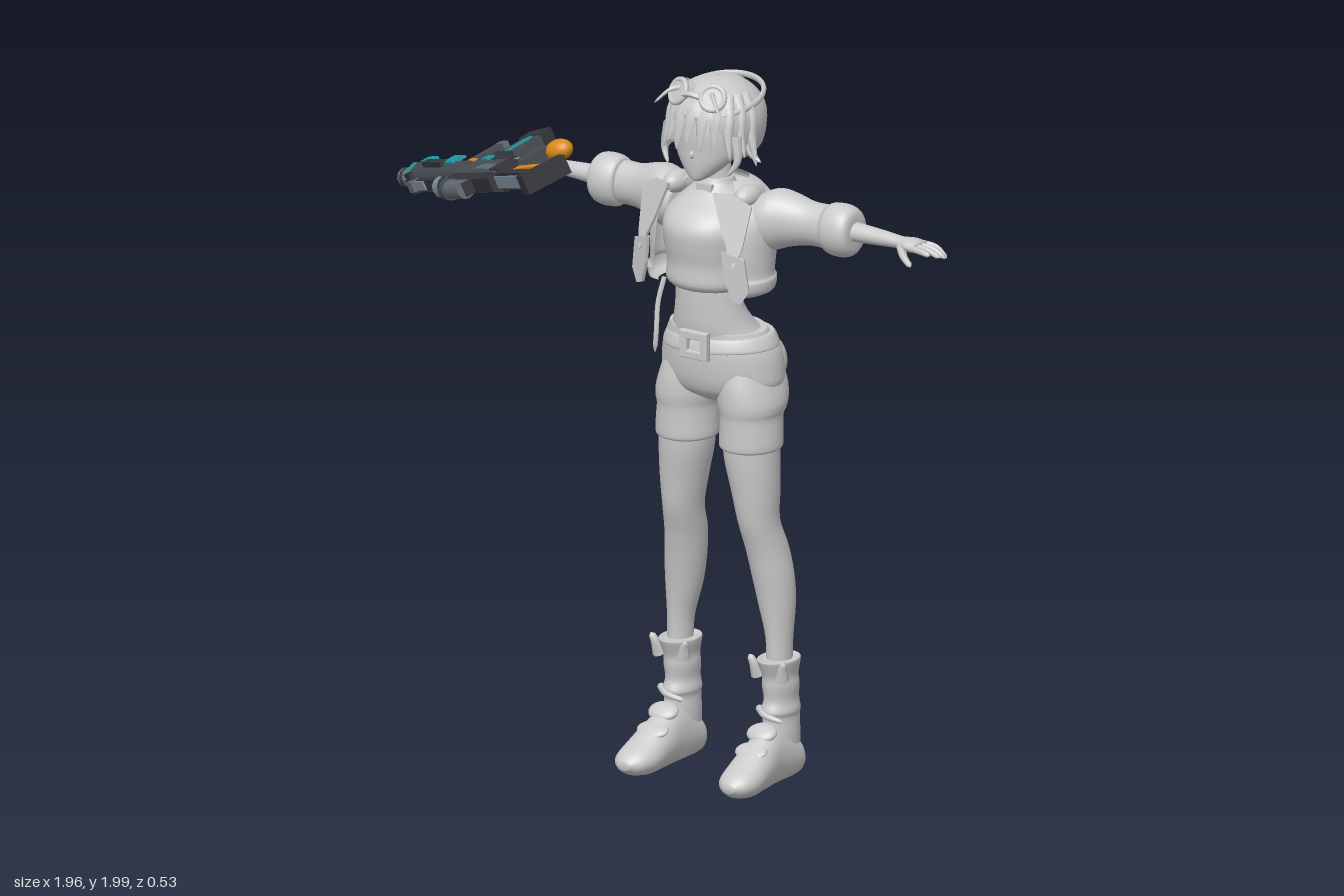
import * as THREE from 'three';

const mat = (name, color, side = THREE.FrontSide) =>
  Object.assign(new THREE.MeshStandardMaterial({ color, side }), { name });
const CX = 0.248; // figure's centre line
const V = (x, y, z) => new THREE.Vector3(x, y, z);

export function createModel() {
  const clay = mat('clay grey', 0xcacaca, THREE.DoubleSide);
  const dark = mat('gunmetal', 0x484c52);
  const black = mat('dark polymer', 0x34363b);
  const teal = mat('teal', 0x1f98a2);
  const orange = mat('orange', 0xd98a1c);
  const steel = mat('blue steel', 0x7d8e9d);
  const iron = mat('grey steel', 0x626a72);
  const tan = mat('tan', 0xb09c8a);

  const model = new THREE.Group();
  const body = new THREE.Group();
  body.name = 'figure';
  body.position.x = CX;
  model.add(body);

  const add = (name, geo, m = clay, parent = body) => {
    const mesh = new THREE.Mesh(geo, m);
    mesh.name = name;
    parent.add(mesh);
    return mesh;
  };

  // Smooth skin over elliptical rings: [along, c1, c2, r1, r2, front gap]
  function loft(name, rows, axis = 'y', floor = -9) {
    const N = 32, SUB = 4, pos = [], idx = [];
    const open = rows.some(r => r[5]);
    const cols = open ? N + 1 : N, rings = (rows.length - 1) * SUB + 1;
    const row = i => rows[Math.max(0, Math.min(rows.length - 1, i))];
    const put = (p, a, b) => {
      const q = axis === 'y' ? [a, p, b] : axis === 'x' ? [p, a, b] : [a, b, p];
      q[1] = Math.max(floor, q[1]);
      pos.push(...q);
    };
    for (let j = 0; j < rings; j++) {
      const k = Math.min(Math.floor(j / SUB), rows.length - 2), t = j / SUB - k;
      const [p, c1, c2, r1, r2, gap = 0] = row(k).map((b, i) => {
        const a = row(k - 1)[i], c = row(k + 1)[i], d = row(k + 2)[i];
        return b + 0.5 * t * (c - a + t * (2 * a - 5 * b + 4 * c - d + t * (3 * (b - c) + d - a)));
      });
      const g = Math.max(0, gap);
      for (let i = 0; i < cols; i++) {
        const th = Math.PI / 2 + g + (i / N) * (2 * Math.PI - 2 * g);
        put(p, c1 + r1 * Math.cos(th), c2 + r2 * Math.sin(th));
      }
    }
    const flip = (axis !== 'y') !== (rows[rows.length - 1][0] < rows[0][0]);
    const tri = (a, b, c) => (flip ? idx.push(a, c, b) : idx.push(a, b, c));
    for (let j = 0; j < rings - 1; j++)
      for (let i = 0; i < N; i++) {
        const n = (i + 1) % cols, a = j * cols;
        tri(a + i, a + cols + i, a + cols + n);
        tri(a + i, a + cols + n, a + n);
      }
    if (!open) {
      const end = rows[rows.length - 1], base = rings * cols, top = (rings - 1) * cols;
      put(...rows[0]);
      put(...end);
      for (let i = 0; i < N; i++) {
        tri(base, i, (i + 1) % cols);
        tri(base + 1, top + (i + 1) % cols, top + i);
      }
    }
    const geo = new THREE.BufferGeometry();
    geo.setAttribute('position', new THREE.Float32BufferAttribute(pos, 3));
    geo.setIndex(idx);
    geo.computeVertexNormals();
    return add(name, geo);
  }

  // Tapered tube through points
  function strand(name, pts, r0, r1, flat = 1) {
    const S = 10, R = 8, curve = new THREE.CatmullRomCurve3(pts.map(p => V(...p)));
    const geo = new THREE.TubeGeometry(curve, S, 1, R), P = geo.attributes.position, v = V(0, 0, 0);
    for (let i = 0; i <= S; i++) {
      const c = curve.getPointAt(i / S);
      const r = i === S ? 0.001 : r0 + (r1 - r0) * i / S;
      for (let j = 0; j <= R; j++) {
        const k = i * (R + 1) + j;
        v.fromBufferAttribute(P, k).sub(c).multiplyScalar(r);
        P.setXYZ(k, c.x + v.x, c.y + v.y, c.z + v.z * flat);
      }
    }
    geo.computeVertexNormals();
    return add(name, geo);
  }
  const ball = (name, x, y, z, rx, ry, rz, m = clay, parent = body) => {
    const b = add(name, new THREE.SphereGeometry(1, 24, 16).scale(rx, ry, rz), m, parent);
    b.position.set(x, y, z);
    return b;
  };

  // Head, face and hair
  const HX = -0.01;
  loft('neck', [[1.64, 0, -0.01, 0.055, 0.05], [1.7, 0, -0.005, 0.041, 0.042], [1.8, HX, 0, 0.04, 0.042]]);
  loft('face', [[1.712, HX, 0.078, 0.012, 0.012], [1.725, HX, 0.062, 0.035, 0.035], [1.76, HX, 0.04, 0.073, 0.062],
    [1.8, HX, 0.015, 0.1, 0.088], [1.86, HX, 0, 0.11, 0.104], [1.93, HX, 0, 0.09, 0.085]]);
  ball('nose', HX, 1.79, 0.1, 0.007, 0.012, 0.011);
  loft('hairCap', [[1.765, HX, -0.035, 0.085, 0.085, 1.35], [1.8, HX, -0.025, 0.118, 0.12, 1.15], [1.86, HX, -0.02, 0.132, 0.137, 0.7],
    [1.91, HX, -0.02, 0.125, 0.133, 0.15], [1.95, HX, -0.02, 0.098, 0.103, 0], [1.98, HX, -0.02, 0.052, 0.057, 0], [1.988, HX, -0.02, 0.002, 0.002, 0]]);
  for (let i = -5; i <= 5; i++) {
    const a = i * 0.3, s = Math.sin(a), c = Math.cos(a), low = 1.775 + 0.05 * c - (i % 2 ? 0.018 : 0);
    strand('fringeLock', [[HX + 0.08 * s, 1.945, -0.02 + 0.085 * c], [HX + 0.115 * s, 1.9, -0.015 + 0.118 * c],
      [HX + 0.125 * s, 1.85, -0.008 + 0.128 * c], [HX + (0.12 + 0.03 * Math.abs(s)) * s, low, 0.128 * c]], 0.03, 0.006, 0.6);
  }
  for (const s of [-1, 1]) {
    strand('sideLock', [[HX + s * 0.11, 1.85, 0.05], [HX + s * 0.122, 1.78, 0.06], [HX + s * 0.1, 1.74, 0.075]], 0.02, 0.004);
    strand('sideFlick', [[HX + s * 0.11, 1.83, -0.01], [HX + s * 0.13, 1.79, 0], [HX + s * 0.165, 1.775, 0.01]], 0.024, 0.003);
    strand('topFlick', [[HX + s * 0.03, 1.965, 0.05], [HX + s * 0.07, 1.965, 0.1], [HX + s * 0.11, 1.925, 0.125]], 0.01, 0.003);
    // Goggles
    const lens = new THREE.Group();
    lens.name = 'goggleLens';
    lens.position.set(HX + s * 0.058, 1.958, 0.085);
    lens.rotation.set(-0.45, s * 0.35, 0);
    body.add(lens);
    add('goggleRim', new THREE.TorusGeometry(0.033, 0.008, 10, 24), clay, lens);
    add('goggleCup', new THREE.CylinderGeometry(0.032, 0.036, 0.05, 24).rotateX(Math.PI / 2), clay, lens).position.z = -0.02;
  }
  strand('goggleBridge', [[HX - 0.03, 1.957, 0.098], [HX, 1.963, 0.104], [HX + 0.03, 1.957, 0.098]], 0.009, 0.009);
  const strap = add('goggleStrap', new THREE.TorusGeometry(0.124, 0.007, 8, 48).scale(0.98, 1.05, 1.4));
  strap.position.set(HX, 1.928, -0.022);
  strap.rotation.x = Math.PI / 2 - 0.0 + 0.22;

  // Torso, top and shorts
  loft('waist', [[1.18, 0, -0.03, 0.165, 0.115], [1.25, 0, -0.02, 0.152, 0.112], [1.3, 0, 0.01, 0.122, 0.092],
    [1.37, 0, 0.035, 0.102, 0.07], [1.45, 0, 0.03, 0.105, 0.075]]);
  loft('croppedTop', [[1.41, 0, 0.045, 0.105, 0.085], [1.43, 0, 0.05, 0.116, 0.095], [1.48, 0, 0.048, 0.115, 0.096],
    [1.53, 0, 0.048, 0.122, 0.105], [1.58, 0, 0.045, 0.127, 0.111], [1.62, 0, 0.03, 0.122, 0.102],
    [1.66, 0, 0.008, 0.09, 0.076], [1.69, 0, 0, 0.055, 0.054], [1.71, 0, -0.003, 0.046, 0.046]]);
  add('collarTab', new THREE.BoxGeometry(0.05, 0.025, 0.015)).position.set(0, 1.685, 0.055);
  loft('shorts', [[1.075, 0, -0.035, 0.05, 0.07], [1.1, 0, -0.032, 0.15, 0.105], [1.13, 0, -0.031, 0.184, 0.12], [1.17, 0, -0.03, 0.186, 0.127],
    [1.22, 0, -0.027, 0.178, 0.127], [1.26, 0, -0.015, 0.158, 0.112], [1.285, 0, -0.008, 0.145, 0.104]]);
  const belt = loft('belt', [[-0.02, 0, 0, 0.165, 0.118], [-0.016, 0, 0, 0.175, 0.128], [0.016, 0, 0, 0.162, 0.12], [0.02, 0, 0, 0.152, 0.112]]);
  belt.position.set(0, 1.245, -0.02);
  belt.rotation.z = 0.06;
  const frame = new THREE.Shape([[-0.042, -0.036], [0.042, -0.036], [0.042, 0.036], [-0.042, 0.036]].map(p => new THREE.Vector2(...p)));
  frame.holes.push(new THREE.Path([[-0.026, -0.02], [-0.026, 0.02], [0.026, 0.02], [0.026, -0.02]].map(p => new THREE.Vector2(...p))));
  add('buckle', new THREE.ExtrudeGeometry(frame, { depth: 0.012, bevelSize: 0.004, bevelThickness: 0.004, bevelSegments: 2 })).position.set(0.005, 1.25, 0.103);
  strand('cord', [[-0.09, 1.43, 0.12], [-0.1, 1.36, 0.135], [-0.095, 1.28, 0.15], [-0.1, 1.22, 0.15]], 0.007, 0.007);

  // Open jacket with folded hood
  loft('jacket', [[1.4, 0, 0.02, 0.165, 0.11, 1.05], [1.415, 0, 0.022, 0.19, 0.132, 0.95], [1.445, 0, 0.022, 0.195, 0.138, 0.8],
    [1.46, 0, 0.02, 0.188, 0.132, 0.75], [1.53, 0, 0.015, 0.19, 0.138, 0.68], [1.6, 0, 0.005, 0.192, 0.13, 0.68],
    [1.65, 0, -0.01, 0.175, 0.112, 0.7], [1.685, 0, -0.025, 0.125, 0.09, 0.8], [1.705, 0, -0.025, 0.08, 0.065, 0.9]]);
  const hood = [];
  for (let i = 0; i <= 8; i++) {
    const a = Math.PI * (i / 8), b = Math.sin(a);
    hood.push(V(0.12 * Math.cos(a), 1.675 - 0.025 * b, 0.02 - 0.115 * b));
  }
  add('hood', new THREE.TubeGeometry(new THREE.CatmullRomCurve3(hood), 32, 0.032, 12));
  for (const s of [-1, 1]) {
    ball('hoodEnd', s * 0.12, 1.675, 0.02, 0.032, 0.032, 0.05);
    ball('seat', s * 0.078, 1.175, -0.075, 0.088, 0.085, 0.082);
    // Lapels and hanging front flaps
    const lapel = new THREE.Shape([[0.07, 1.7], [0.13, 1.705], [0.185, 1.68], [0.175, 1.56], [0.16, 1.5], [0.11, 1.6]].map(p => new THREE.Vector2(s * p[0], p[1])));
    const wing = add('lapel', new THREE.ExtrudeGeometry(lapel, { depth: 0.008, bevelEnabled: false }).translate(-s * 0.11, -1.6, 0));
    wing.position.set(s * 0.11, 1.6, 0.128);
    wing.rotation.set(-0.25, s * 0.35, 0);
    const flap = new THREE.Shape([[0.12, 1.55], [0.185, 1.53], [0.198, 1.44], [0.175, 1.402], [0.15, 1.41], [0.13, 1.47]].map(p => new THREE.Vector2(s * p[0], p[1])));
    const panel = add('frontFlap', new THREE.ExtrudeGeometry(flap, { depth: 0.01, bevelEnabled: false }).translate(-s * 0.13, 0, 0));
    panel.position.set(s * 0.13, 0, 0.14);
    panel.rotation.y = s * 0.4;

    // Sleeve, rolled cuff and forearm
    const arm = rows => rows.map(r => [s * r[0], ...r.slice(1)]);
    loft('sleeve', arm([[0.12, 1.605, -0.015, 0.06, 0.07], [0.18, 1.61, -0.025, 0.086, 0.078], [0.23, 1.615, -0.035, 0.076, 0.066],
      [0.29, 1.613, -0.042, 0.062, 0.053], [0.35, 1.613, -0.045, 0.062, 0.052]]), 'x');
    loft('cuff', arm([[0.345, 1.612, -0.045, 0.052, 0.046], [0.355, 1.612, -0.045, 0.07, 0.06], [0.39, 1.612, -0.045, 0.075, 0.066],
      [0.42, 1.612, -0.045, 0.07, 0.062], [0.435, 1.612, -0.045, 0.055, 0.05], [0.438, 1.612, -0.045, 0.028, 0.028]]), 'x');
    loft('forearm', arm([[0.38, 1.615, -0.045, 0.03, 0.032], [0.46, 1.615, -0.045, 0.026, 0.028], [0.54, 1.615, -0.045, 0.021, 0.023],
      [0.59, 1.614, -0.045, 0.017, 0.023], [0.625, 1.614, -0.045, 0.019, 0.036], [0.655, 1.612, -0.047, 0.014, 0.036]]), 'x');
    // Spread fingers and thumb
    for (let f = 0; f < 4; f++) {
      const z = -0.018 - f * 0.019, len = [0.062, 0.073, 0.068, 0.052][f], fan = (1.4 - f) * 0.012;
      strand('finger', [[s * 0.64, 1.613, z], [s * (0.65 + len / 2), 1.614 - f * 0.003, z + fan * 0.7], [s * (0.655 + len), 1.61 - f * 0.011, z + fan]], 0.0105, 0.007);
    }
    strand('thumb', [[s * 0.6, 1.607, -0.03], [s * 0.63, 1.592, 0], [s * 0.665, 1.573, 0.015]], 0.014, 0.008);

    // Shorts leg with two soft folds
    const side = rows => rows.map(r => [r[0], s * r[1], ...r.slice(2)]);
    loft('shortsLeg', side([[1.19, 0.088, -0.03, 0.075, 0.1], [1.13, 0.098, -0.03, 0.086, 0.112], [1.085, 0.104, -0.025, 0.091, 0.11],
      [1.06, 0.106, -0.02, 0.088, 0.103], [1.04, 0.106, -0.016, 0.083, 0.096], [1.0, 0.107, -0.013, 0.085, 0.092],
      [0.965, 0.107, -0.012, 0.087, 0.091], [0.95, 0.107, -0.012, 0.084, 0.088], [0.945, 0.107, -0.012, 0.07, 0.075]]));
    loft('leg', side([[1.0, 0.107, -0.012, 0.078, 0.082], [0.92, 0.11, -0.012, 0.076, 0.08], [0.83, 0.12, -0.015, 0.066, 0.072],
      [0.74, 0.127, -0.02, 0.055, 0.064], [0.66, 0.136, -0.045, 0.056, 0.066], [0.58, 0.147, -0.058, 0.057, 0.062],
      [0.5, 0.156, -0.064, 0.051, 0.055], [0.4, 0.166, -0.062, 0.036, 0.042], [0.3, 0.167, -0.06, 0.034, 0.04]]));
    // Boot
    const bx = s * 0.166 + 0.008;
    loft('bootShaft', [[0.05, bx, -0.062, 0.044, 0.06], [0.13, bx, -0.058, 0.046, 0.064], [0.18, bx, -0.06, 0.043, 0.063],
      [0.2, bx, -0.057, 0.047, 0.067], [0.23, bx, -0.06, 0.042, 0.059], [0.27, bx, -0.057, 0.046, 0.06],
      [0.3, bx, -0.055, 0.044, 0.06], [0.335, bx, -0.05, 0.052, 0.069], [0.348, bx, -0.048, 0.052, 0.07], [0.343, bx, -0.05, 0.042, 0.052]]);
    loft('foot', [[-0.125, 0.05, 0.02, 0.03], [-0.105, 0.056, 0.042, 0.052], [-0.05, 0.07, 0.048, 0.072], [0.01, 0.08, 0.05, 0.085],
      [0.08, 0.064, 0.058, 0.068], [0.14, 0.046, 0.06, 0.05], [0.185, 0.04, 0.048, 0.033], [0.212, 0.038, 0.018, 0.012]].map(
      ([z, y, rx, ry]) => [z, bx + 0.006 + s * Math.max(0, z) * 0.05, y, rx, ry]), 'z', 0.005);
    ball('bootFold', bx, 0.15, 0.03, 0.046, 0.018, 0.036).rotation.x = 0.5;
    ball('bootFold', bx + 0.004, 0.112, 0.085, 0.05, 0.014, 0.034).rotation.x = 0.45;
    strand('bootTab', [[bx - 0.042, 0.3, -0.01], [bx - 0.048, 0.34, 0.005], [bx - 0.058, 0.36, 0.01]], 0.02, 0.008);
    strand('bootTab', [[bx + 0.038, 0.3, -0.01], [bx + 0.048, 0.335, 0], [bx + 0.058, 0.355, 0.005]], 0.02, 0.007);
    strand('bootStrap', [[bx - 0.045, 0.2, -0.02], [bx, 0.195, 0.015], [bx + 0.055, 0.185, 0.01]], 0.011, 0.007);
  }

  // Rifle: local x runs to the muzzle, y to the magazine side, z across
  const rifle = new THREE.Group();
  rifle.name = 'rifle';
  const a = V(-0.84, -0.285, -0.46).normalize(), n = a.clone().cross(V(0.38, 0.3, -0.87)).normalize();
  rifle.quaternion.setFromRotationMatrix(new THREE.Matrix4().makeBasis(a, n.clone().cross(a), n));
  rifle.position.set(-0.18, 1.68, 0.2);
  model.add(rifle);
  const box = (name, m, u, v, w, l, h, d, turn = 0) => {
    const b = add(name, new THREE.BoxGeometry(l, h, d), m, rifle);
    b.position.set(u, v, w);
    b.rotation.z = turn;
  };
  const rod = (name, m, u, v, w, r, l, sides = 12) => {
    add(name, new THREE.CylinderGeometry(r, r, l, sides).rotateZ(Math.PI / 2), m, rifle).position.set(u, v, w);
  };
  // Skeleton stock
  box('buttPad', black, 0.02, 0, 0, 0.04, 0.14, 0.055);
  box('buttPlate', dark, 0.05, 0.01, 0, 0.04, 0.1, 0.045);
  box('stockStrut', black, 0.15, -0.03, 0, 0.22, 0.024, 0.052);
  box('stockStrutPlate', steel, 0.17, -0.044, 0, 0.15, 0.006, 0.036);
  box('stockInlay', orange, 0.15, -0.014, 0, 0.16, 0.012, 0.036);
  box('stockRail', orange, 0.14, 0.025, 0, 0.17, 0.02, 0.032, -0.1);
  box('buttInlay', orange, 0.055, 0.048, 0, 0.045, 0.03, 0.036);
  // Receiver and grip
  box('receiver', dark, 0.38, 0, 0, 0.28, 0.085, 0.06);
  box('receiverTop', black, 0.4, -0.05, 0, 0.3, 0.025, 0.04);
  box('receiverRear', black, 0.26, 0, 0, 0.06, 0.065, 0.07);
  box('pistolGrip', dark, 0.268, 0.08, 0, 0.05, 0.12, 0.045, -0.3);
  ball('gripCap', 0.238, 0.16, 0, 0.046, 0.032, 0.03, orange, rifle).rotation.z = -0.3;
  box('triggerGuard', black, 0.335, 0.072, 0, 0.08, 0.01, 0.025);
  box('magazineWell', black, 0.44, 0.065, 0, 0.1, 0.06, 0.06);
  box('magazine', dark, 0.47, 0.135, 0, 0.075, 0.14, 0.045, -0.2);
  box('magazineFoot', black, 0.5, 0.22, 0, 0.085, 0.05, 0.05, -0.35);
  // Handguard, foregrip and barrel
  rod('handguard', dark, 0.67, 0, 0, 0.045, 0.3, 8);
  box('handguardRail', black, 0.68, -0.045, 0, 0.28, 0.02, 0.03);
  box('handguardBelly', black, 0.66, 0.043, 0, 0.2, 0.02, 0.04);
  rod('frontCollar', teal, 0.82, 0, 0, 0.044, 0.06, 8);
  box('collarBand', black, 0.815, -0.03, 0, 0.03, 0.035, 0.06);
  rod('barrel', iron, 0.86, 0, 0, 0.018, 0.13);
  rod('muzzleBrake', iron, 0.91, 0, 0, 0.028, 0.055, 10);
  rod('muzzleRing', steel, 0.885, 0, 0, 0.03, 0.012, 10);
  rod('muzzleBand', black, 0.915, 0, 0, 0.0295, 0.01, 10);
  box('foregrip', dark, 0.63, 0.11, 0, 0.038, 0.13, 0.036, -0.12);
  box('foregripFoot', iron, 0.637, 0.175, 0, 0.04, 0.02, 0.038, -0.12);
  // Sight and side tubes
  box('sightMount', black, 0.41, -0.075, 0, 0.09, 0.035, 0.04);
  rod('sight', iron, 0.42, -0.085, 0, 0.027, 0.1);
  rod('sightLens', dark, 0.475, -0.085, 0, 0.031, 0.02);
  rod('upperTube', steel, 0.57, -0.045, 0.01, 0.03, 0.1);
  rod('upperTubeRing', black, 0.57, -0.045, 0.01, 0.0325, 0.02);
  box('railPlate', steel, 0.73, -0.057, 0, 0.06, 0.006, 0.026);
  box('frontSight', iron, 0.77, -0.055, 0, 0.03, 0.03, 0.03);
  for (const s of [-1, 1]) {
    box('tealPanel', teal, 0.6, 0.012, s * 0.044, 0.07, 0.045, 0.008);
    box('tealPanel', teal, 0.765, 0.014, s * 0.044, 0.06, 0.03, 0.008);
    box('magazineStripe', teal, 0.462, 0.14, s * 0.024, 0.016, 0.11, 0.006, -0.2);
    box('receiverStripe', teal, 0.45, 0.045, s * 0.032, 0.035, 0.025, 0.008);
    box('ironPanel', iron, 0.35, -0.015, s * 0.032, 0.09, 0.03, 0.008);
    box('sideRail', black, 0.68, -0.012, s * 0.046, 0.12, 0.022, 0.015);
    box('orangeMark', orange, 0.535, 0.035, s * 0.03, 0.035, 0.016, 0.008);
  }
  box('tanPlate', tan, 0.509, 0.245, 0, 0.07, 0.006, 0.04, -0.35);
  return model;
}
